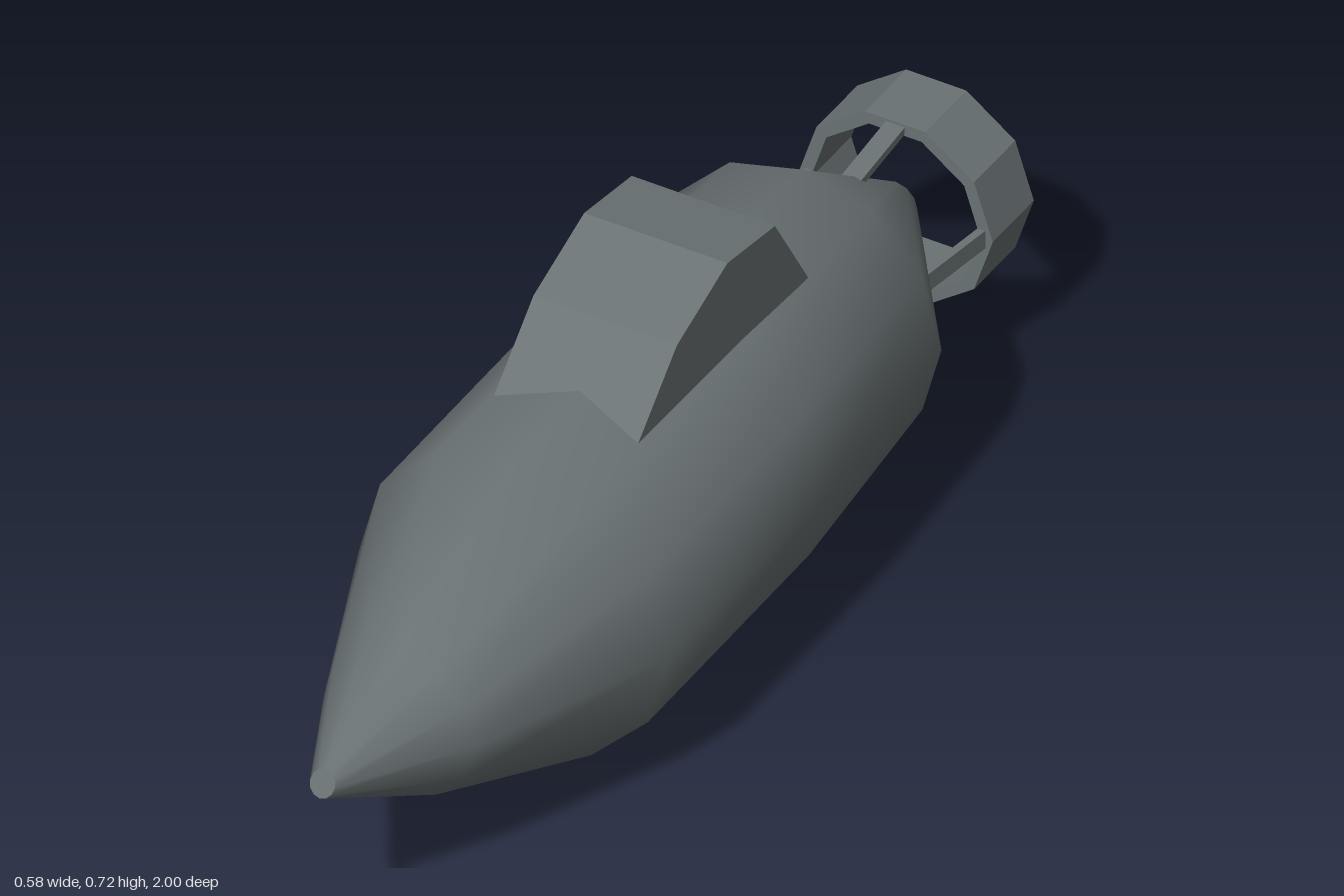
import * as THREE from 'three';

const SIDES = 12;

// Hull sections, nose to tail: [z, centre x, centre y, radius, tilt]
const SECTIONS = [
  [0.99, 0.012, 0.332, 0.023, 0.01],
  [0.74, 0.006, 0.293, 0.138, 0],
  [0.37, 0.003, 0.291, 0.287, 0],
  [-0.15, -0.004, 0.288, 0.287, 0],
  [-0.56, -0.012, 0.293, 0.262, 0],
  [-0.87, -0.017, 0.29, 0.04, 0],
];

// Smooth loft through the sections, with flat end caps
function hullGeometry() {
  const pos = [], index = [];
  const addRing = ([z, cx, cy, r, tilt]) => {
    const start = pos.length / 3;
    for (let i = 0; i < SIDES; i++) {
      const a = (i / SIDES) * Math.PI * 2;
      pos.push(cx + r * Math.sin(a), cy + r * Math.cos(a), z - tilt * Math.cos(a));
    }
    return start;
  };
  const starts = SECTIONS.map(addRing);
  for (let j = 0; j < starts.length - 1; j++) {
    for (let i = 0; i < SIDES; i++) {
      const n = (i + 1) % SIDES, p = starts[j], q = starts[j + 1];
      index.push(p + i, p + n, q + i, p + n, q + n, q + i);
    }
  }
  const nose = addRing(SECTIONS[0]);
  const tail = addRing(SECTIONS[SECTIONS.length - 1]);
  for (let i = 1; i < SIDES - 1; i++) {
    index.push(nose, nose + i + 1, nose + i, tail, tail + i, tail + i + 1);
  }
  const g = new THREE.BufferGeometry();
  g.setAttribute('position', new THREE.Float32BufferAttribute(pos, 3));
  g.setIndex(index);
  g.computeVertexNormals();
  return g;
}

// Conning tower: side outline (z, y) extruded across x
function towerGeometry() {
  const outline = [[0.2, 0.535], [0.07, 0.66], [-0.09, 0.722], [-0.24, 0.7], [-0.345, 0.53]];
  const shape = new THREE.Shape(outline.map(([z, y]) => new THREE.Vector2(-z, y)));
  const g = new THREE.ExtrudeGeometry(shape, { depth: 0.266, bevelEnabled: false });
  g.translate(0, 0, -0.133);
  g.rotateY(Math.PI / 2);
  g.translate(-0.004, 0, 0);
  return g;
}

// Ten-sided shroud with an open centre
function shroudGeometry(outer, inner, depth) {
  const decagon = (r) => Array.from({ length: 10 }, (_, i) => {
    const a = (i / 10) * Math.PI * 2;
    return new THREE.Vector2(r * Math.cos(a), r * Math.sin(a));
  });
  const shape = new THREE.Shape(decagon(outer));
  shape.holes.push(new THREE.Path(decagon(inner)));
  return new THREE.ExtrudeGeometry(shape, { depth, bevelEnabled: false });
}

export function createModel() {
  const model = new THREE.Group();
  model.name = 'submarine';
  const steel = new THREE.MeshStandardMaterial({ color: 0x6a7274 });
  steel.name = 'steelGrey';

  const add = (parent, name, geometry) => {
    const mesh = new THREE.Mesh(geometry, steel);
    mesh.name = name;
    parent.add(mesh);
    return mesh;
  };

  add(model, 'hull', hullGeometry());
  add(model, 'conningTower', towerGeometry());

  // Tail assembly around the propeller axis
  const tail = new THREE.Group();
  tail.name = 'tailAssembly';
  tail.position.set(-0.018, 0.277, 0);
  model.add(tail);
  add(tail, 'propellerShroud', shroudGeometry(0.181, 0.158, 0.13)).position.z = -1;

  // Four struts from the hull to the shroud, flaring outward
  for (let i = 0; i < 4; i++) {
    const pivot = new THREE.Group();
    pivot.name = 'strutMount';
    pivot.rotation.z = (i * Math.PI) / 2;
    tail.add(pivot);
    const strut = add(pivot, 'shroudStrut', new THREE.BoxGeometry(0.035, 0.014, 0.21));
    strut.position.set(0, 0.149, -0.785);
    strut.rotation.x = 0.13;
  }
  return model;
}
